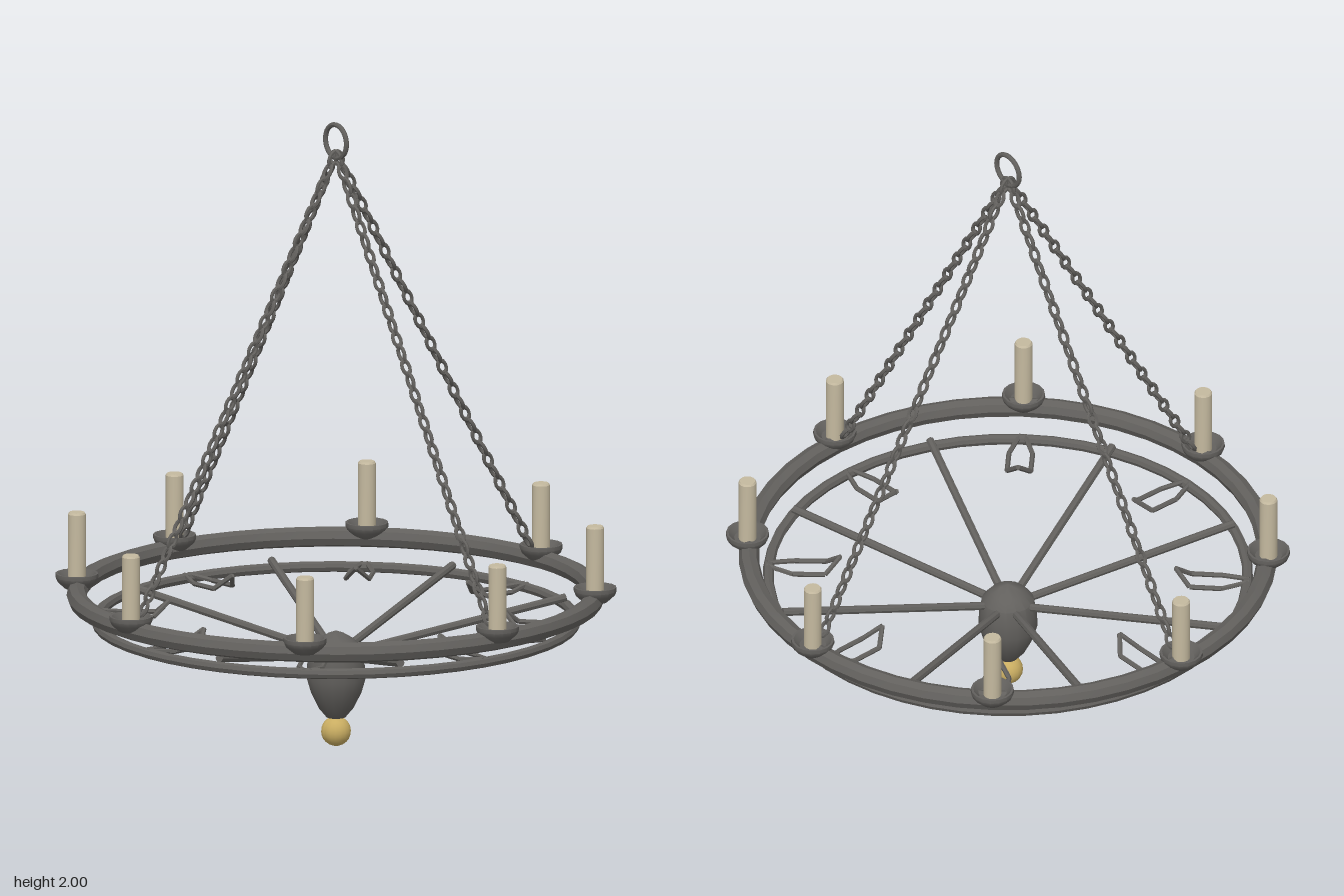
import * as THREE from 'three';
import { toCreasedNormals } from 'three/addons/utils/BufferGeometryUtils.js';

const iron = new THREE.MeshStandardMaterial({ name: 'darkIron', color: 0x62605d });
const wax = new THREE.MeshStandardMaterial({ name: 'candleWax', color: 0xc4b99f });
const brass = new THREE.MeshStandardMaterial({ name: 'brass', color: 0xc9ad62 });

const UP = new THREE.Vector3(0, 1, 0);
const v = (x, y, z) => new THREE.Vector3(x, y, z);

function part(name, geometry, material) {
  const mesh = new THREE.Mesh(toCreasedNormals(geometry, 0.6), material);
  mesh.name = name;
  return mesh;
}

// Straight round bar between two points
function bar(name, a, b, radius, sides = 8) {
  const dir = b.clone().sub(a);
  const mesh = part(name, new THREE.CylinderGeometry(radius, radius, dir.length(), sides), iron);
  mesh.position.copy(a).add(b).multiplyScalar(0.5);
  mesh.quaternion.setFromUnitVectors(UP, dir.normalize());
  return mesh;
}

function lathe(name, points, sides) {
  return part(name, new THREE.LatheGeometry(points.map(([r, y]) => new THREE.Vector2(r, y)), sides), iron);
}

function hoop(name, radius, tube, y) {
  const mesh = part(name, new THREE.TorusGeometry(radius, tube, 8, 48).rotateX(Math.PI / 2), iron);
  mesh.position.y = y;
  return mesh;
}

// Alternating oval links from the top ring down to the hoop
function chain() {
  const group = new THREE.Group();
  group.name = 'chain';
  const top = v(0, 1.905, 0), end = v(0.775, 0.53, 0), count = 34;
  const aim = new THREE.Quaternion().setFromUnitVectors(UP, top.clone().sub(end).normalize());
  const geometry = new THREE.TorusGeometry(0.0145, 0.006, 6, 12).scale(1, 1.55, 1);
  for (let i = 0; i < count; i++) {
    const link = part('chainLink', geometry, iron);
    link.position.lerpVectors(top, end, (i + 0.5) / count);
    link.quaternion.copy(aim);
    if (i % 2) link.rotateY(Math.PI / 2);
    group.add(link);
  }
  return group;
}

// Leaf-shaped wire loop hanging inside the hoop
function hook() {
  const group = new THREE.Group();
  group.name = 'hook';
  for (const s of [-1, 1]) {
    const path = [v(0.755, 0.415, s * 0.008), v(0.67, 0.406, s * 0.037), v(0.57, 0.408, s * 0.037), v(0.525, 0.452, 0)];
    for (let i = 0; i < 3; i++) group.add(bar('hookWire', path[i], path[i + 1], 0.008, 6));
  }
  return group;
}

// Drip cup with its candle
function candleHolder() {
  const group = new THREE.Group();
  group.name = 'candleHolder';
  group.position.x = 0.815;
  group.add(lathe('dripCup', [[0, 0.486], [0.038, 0.486], [0.062, 0.508], [0.068, 0.522], [0.067, 0.534],
    [0.06, 0.534], [0.042, 0.514], [0, 0.51]], 16));
  group.add(part('candle', new THREE.CylinderGeometry(0.028, 0.028, 0.213, 16).translate(0, 0.6165, 0), wax));
  group.add(part('candleTop', new THREE.CylinderGeometry(0.024, 0.028, 0.006, 16).translate(0, 0.726, 0), wax));
  return group;
}

export function createModel() {
  const model = new THREE.Group();
  model.name = 'chandelier';

  model.add(hoop('outerHoop', 0.81, 0.032, 0.487));
  model.add(hoop('innerHoop', 0.749, 0.017, 0.405));

  // Central hub and finial
  model.add(lathe('hub', [[0, 0.09], [0.03, 0.095], [0.055, 0.125], [0.08, 0.175], [0.093, 0.22],
    [0.09, 0.27], [0.082, 0.315], [0.055, 0.345], [0.025, 0.363], [0, 0.372]], 16));
  const ball = part('finialBall', new THREE.SphereGeometry(0.047, 18, 12), brass);
  ball.position.y = 0.05;
  model.add(ball);

  // Eight candles, hooks and spokes, four chains
  for (let i = 0; i < 8; i++) {
    const arm = new THREE.Group();
    arm.name = 'arm';
    arm.rotation.y = i * Math.PI / 4;
    arm.add(candleHolder(), hook());
    if (i % 2 === 0) arm.add(chain());
    model.add(arm);

    const spokeArm = new THREE.Group();
    spokeArm.name = 'spokeArm';
    spokeArm.rotation.y = (i + 0.5) * Math.PI / 4;
    spokeArm.add(bar('spoke', v(0.04, 0.298, 0), v(0.745, 0.432, 0), 0.013));
    model.add(spokeArm);
  }

  // Hanging ring
  const ring = part('hangingRing', new THREE.TorusGeometry(0.053, 0.008, 8, 24), iron);
  ring.position.y = 1.939;
  model.add(ring);
  return model;
}
